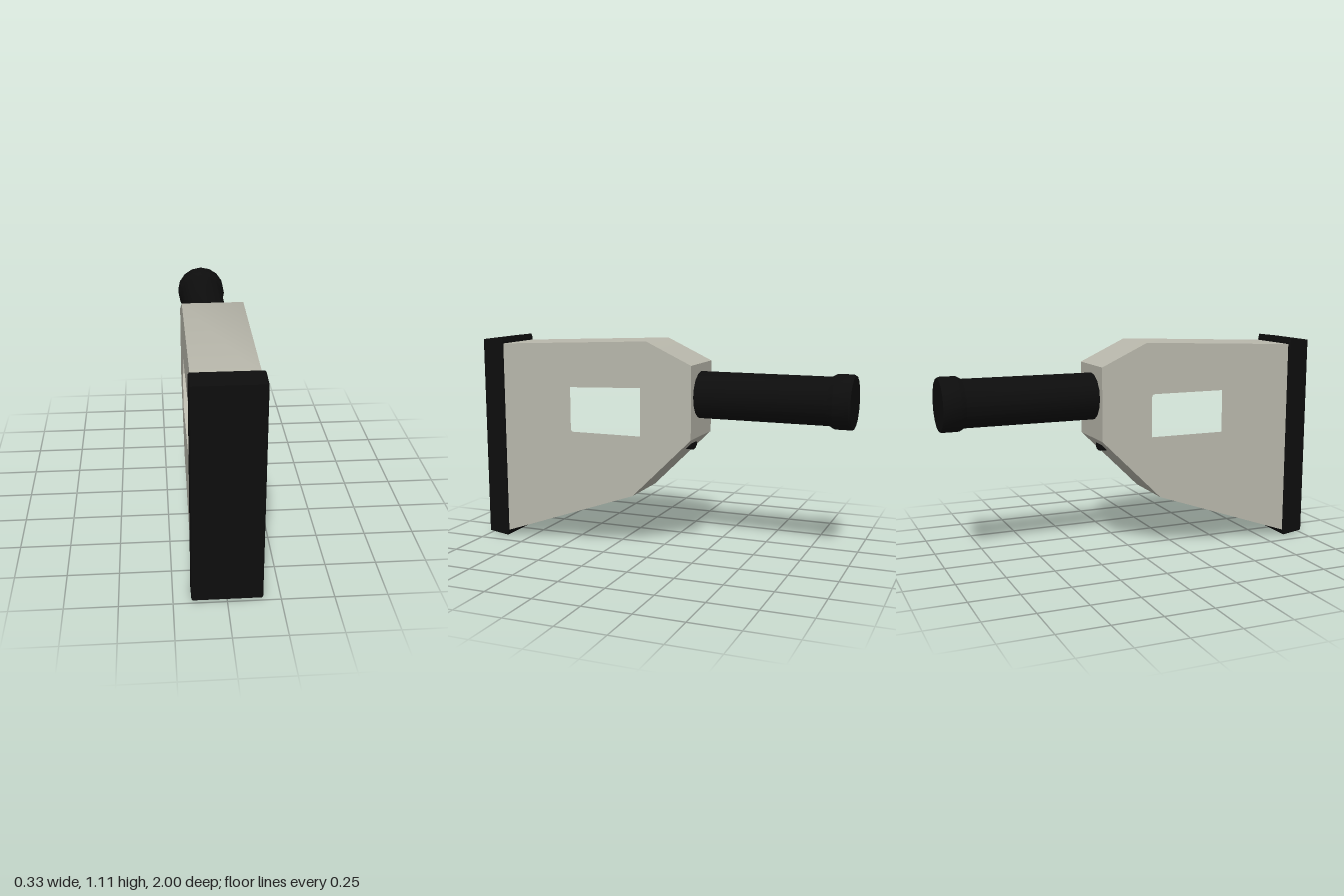
import * as THREE from 'three';
import { toCreasedNormals } from 'three/addons/utils/BufferGeometryUtils.js';

const shell = new THREE.MeshStandardMaterial({ color: 0xb9b8ac, side: THREE.DoubleSide });
shell.name = 'warm grey shell';
const black = new THREE.MeshStandardMaterial({ color: 0x0d0d0d, side: THREE.DoubleSide });
black.name = 'black';

// Side outline as [z, y], open along the front where the pad closes it
const OUTLINE = [[0.89, 1.08], [0.04, 1.115], [-0.205, 1.0], [-0.205, 0.62], [0.12, 0.3], [0.89, 0.03]];
const HALF = 0.155;

// Shapes are drawn in (-z, y) and turned to face +x
const toShape = pts => new THREE.Shape(pts.map(([z, y]) => new THREE.Vector2(-z, y)));

function add(group, name, geometry, material) {
  const mesh = new THREE.Mesh(geometry, material);
  mesh.name = name;
  group.add(mesh);
  return mesh;
}

// Flat side panel with its window cut out
function panel(hole, x) {
  const shape = toShape(OUTLINE);
  shape.holes.push(hole);
  return new THREE.ShapeGeometry(shape).rotateY(Math.PI / 2).translate(x, 0, 0);
}

// Window with corners of radius r
function roundedWindow(z0, z1, y0, y1, r) {
  const a = -z0, b = -z1, p = new THREE.Path();
  p.moveTo(a + r, y0);
  p.lineTo(b - r, y0);
  p.quadraticCurveTo(b, y0, b, y0 + r);
  p.lineTo(b, y1 - r);
  p.quadraticCurveTo(b, y1, b - r, y1);
  p.lineTo(a + r, y1);
  p.quadraticCurveTo(a, y1, a, y1 - r);
  p.lineTo(a, y0 + r);
  p.quadraticCurveTo(a, y0, a + r, y0);
  return p;
}

// Strip that joins the two side panels around the outline
function rim() {
  const pos = [], index = [];
  OUTLINE.forEach(([z, y], i) => {
    pos.push(-HALF, y, z, HALF, y, z);
    if (i) {
      const k = 2 * i;
      index.push(k - 2, k - 1, k, k - 1, k + 1, k);
    }
  });
  const g = new THREE.BufferGeometry();
  g.setAttribute('position', new THREE.Float32BufferAttribute(pos, 3));
  g.setIndex(index);
  g.computeVertexNormals();
  return toCreasedNormals(g, 0.5);
}

export function createModel() {
  const model = new THREE.Group();

  // Hollow body
  const body = new THREE.Group();
  body.name = 'body';
  model.add(body);
  const slanted = new THREE.Path([[0.65, 0.56], [0.075, 0.56], [0.075, 0.875], [0.65, 0.855]]
    .map(([z, y]) => new THREE.Vector2(-z, y)));
  add(body, 'leftPanel', panel(slanted, HALF), shell);
  add(body, 'rightPanel', panel(roundedWindow(0.643, 0.07, 0.56, 0.85, 0.02), -HALF), shell);
  add(body, 'rim', rim(), shell);

  // Front pad with slightly drafted top and bottom
  const bevel = 0.006;
  const padShape = toShape([[0.994, 1.096], [0.892, 1.108], [0.887, 1.09], [0.887, 0.03], [0.892, 0.012], [0.994, 0.026]]);
  const pad = new THREE.ExtrudeGeometry(padShape, {
    depth: 0.32, bevelEnabled: true, bevelSize: bevel, bevelThickness: bevel, bevelSegments: 1,
  });
  add(model, 'frontPad', pad.translate(0, 0, -0.16).rotateY(Math.PI / 2), black);

  // Round grip with a flared end, running back along -z
  const profile = [[0.001, 0.2], [0.123, 0.2], [0.123, 0.885], [0.138, 0.912], [0.138, 0.99], [0.132, 1], [0.001, 1]];
  const grip = new THREE.LatheGeometry(profile.map(([r, t]) => new THREE.Vector2(r, t)), 16);
  add(model, 'grip', toCreasedNormals(grip.rotateX(-Math.PI / 2).translate(0, 0.836, 0), 0.5), black);

  // Small flat catch through the lower slope
  const catchGeo = new THREE.CylinderGeometry(0.024, 0.024, 0.065, 10).rotateX(Math.PI / 2).scale(2, 1, 1);
  add(model, 'catch', catchGeo.translate(0, 0.568, -0.133), black);

  return model;
}
